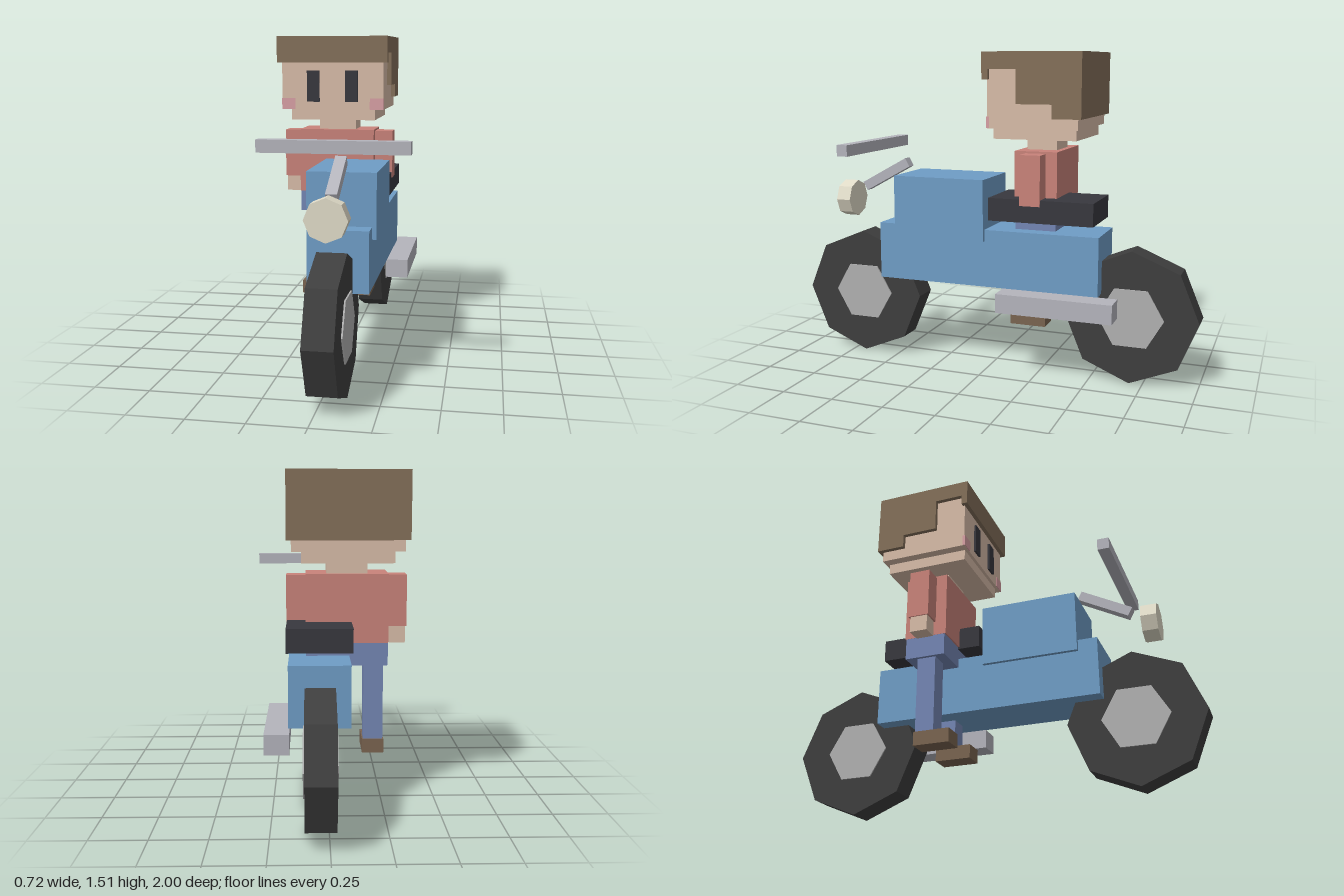
import * as THREE from 'three';

const COLORS = {
  blue: 0x6f9dc6, black: 0x38383e, tyre: 0x3e3e3e, hub: 0xb0b0b0, metal: 0xb4b4bc,
  lamp: 0xe0dbc8, skin: 0xd8bca8, hair: 0x84705a, shirt: 0xc9837a, pants: 0x7486b4,
  shoe: 0x7a6450, blush: 0xd8a0a4,
};
const BIKE_X = 0.038;
const RIDER_X = -0.087;

const materials = {};
for (const key in COLORS) {
  materials[key] = new THREE.MeshStandardMaterial({ color: COLORS[key], flatShading: true });
}

function add(parent, name, geometry, color) {
  const mesh = new THREE.Mesh(geometry, materials[color]);
  mesh.name = name;
  parent.add(mesh);
  return mesh;
}

// Box centred on x, given its width and its y and z ranges
function box(parent, name, color, x, width, [y0, y1], [z0, z1]) {
  const mesh = add(parent, name, new THREE.BoxGeometry(width, y1 - y0, z1 - z0), color);
  mesh.position.set(x, (y0 + y1) / 2, (z0 + z1) / 2);
  return mesh;
}

function createBike() {
  const bike = new THREE.Group();
  bike.name = 'motorbike';
  bike.position.x = BIKE_X;

  // Octagonal wheels with hexagonal hubs
  for (const [name, z] of [['frontWheel', 0.6875], ['rearWheel', -0.6875]]) {
    const wheel = new THREE.Group();
    wheel.name = name;
    wheel.position.set(0, 0.3125, z);
    add(wheel, 'tyre', new THREE.CylinderGeometry(0.3125, 0.3125, 0.13, 8).rotateZ(Math.PI / 2), 'tyre');
    add(wheel, 'hub', new THREE.CylinderGeometry(0.155, 0.155, 0.144, 6).rotateZ(Math.PI / 2), 'hub');
    bike.add(wheel);
  }

  // Body
  box(bike, 'frame', 'blue', 0, 0.272, [0.415, 0.69], [-0.55, 0.55]);
  box(bike, 'tank', 'blue', 0, 0.31, [0.635, 0.928], [0, 0.46]);
  box(bike, 'seat', 'black', 0, 0.29, [0.738, 0.845], [-0.525, -0.022]);
  box(bike, 'exhaust', 'metal', 0.184, 0.108, [0.324, 0.414], [-0.64, -0.092]);

  // Steering
  box(bike, 'handlebar', 'metal', 0, 0.64, [1.03, 1.084], [0.618, 0.672]);
  const stem = box(bike, 'steeringStem', 'metal', 0, 0.05, [0.891, 0.937], [0.436, 0.706]);
  stem.rotation.x = 0.5;

  // Headlight
  const lamp = add(bike, 'headlight', new THREE.CylinderGeometry(0.091, 0.091, 0.073, 8).rotateX(Math.PI / 2), 'lamp');
  lamp.position.set(0, 0.783, 0.782);
  return bike;
}

function createRider() {
  const rider = new THREE.Group();
  rider.name = 'rider';
  rider.position.x = RIDER_X;

  // Trunk
  box(rider, 'hips', 'pants', 0, 0.37, [0.645, 0.75], [-0.325, -0.13]);
  box(rider, 'torso', 'shirt', 0, 0.372, [0.748, 1.06], [-0.33, -0.123]);
  box(rider, 'neck', 'skin', 0, 0.184, [1.05, 1.12], [-0.3, -0.155]);

  // Head
  box(rider, 'jaw', 'skin', 0, 0.408, [1.115, 1.167], [-0.425, -0.025]);
  box(rider, 'head', 'skin', 0, 0.494, [1.166, 1.46], [-0.443, -0.01]);

  // Hair: stepped side profile (z, y) drawn across the head
  const profile = [
    [0.01, 1.515], [-0.462, 1.515], [-0.462, 1.216], [-0.325, 1.216], [-0.325, 1.28],
    [-0.155, 1.28], [-0.155, 1.437], [-0.02, 1.437], [-0.02, 1.39], [0.01, 1.39],
  ];
  const hairShape = new THREE.Shape(profile.map(([z, y]) => new THREE.Vector2(z, y)));
  const hair = new THREE.ExtrudeGeometry(hairShape, { depth: 0.536, bevelEnabled: false });
  hair.translate(0, 0, -0.268).rotateY(-Math.PI / 2);
  add(rider, 'hair', hair, 'hair');

  // Paired parts
  for (const [side, s] of [['left', 1], ['right', -1]]) {
    box(rider, side + 'Eye', 'black', s * 0.093, 0.061, [1.203, 1.352], [-0.02, 0]);
    box(rider, side + 'Cheek', 'blush', s * 0.215, 0.066, [1.167, 1.22], [-0.02, -0.006]);
    box(rider, side + 'Sleeve', 'shirt', s * 0.229, 0.088, [0.816, 1.051], [-0.275, -0.176]);
    box(rider, side + 'Hand', 'skin', s * 0.23, 0.075, [0.74, 0.817], [-0.268, -0.183]);
    box(rider, side + 'Leg', 'pants', s * 0.124, 0.09, [0.28, 0.65], [-0.27, -0.18]);
    box(rider, side + 'Shoe', 'shoe', s * 0.124, 0.1, [0.22, 0.285], [-0.275, -0.102]);
  }
  return rider;
}

export function createModel() {
  const model = new THREE.Group();
  model.name = 'motorbikeWithRider';
  model.add(createBike(), createRider());
  return model;
}
